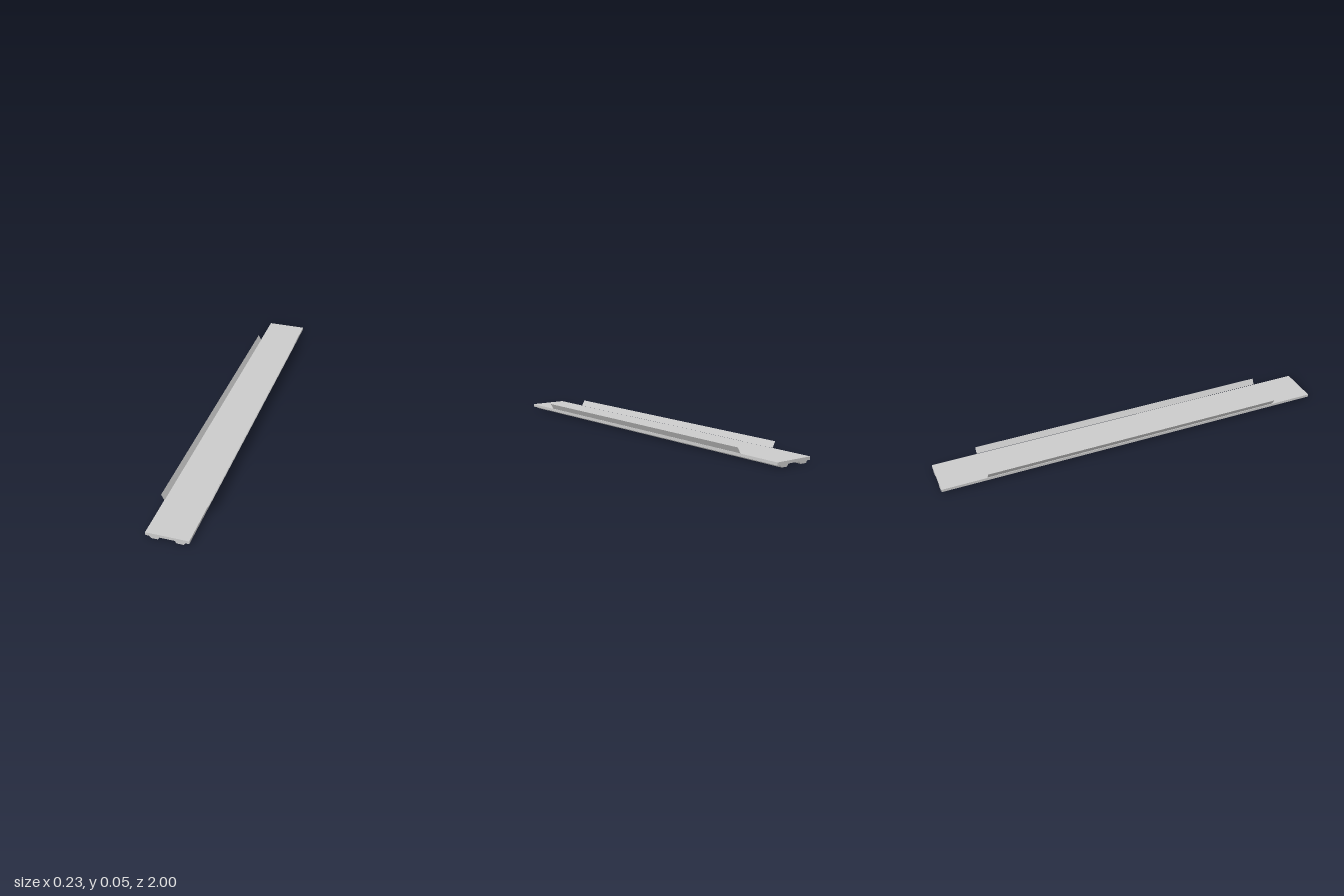
import * as THREE from 'three';

export function createModel() {
  const group = new THREE.Group();
  const grey = new THREE.MeshStandardMaterial({ color: 0xcccccc, flatShading: true });
  const thin = new THREE.MeshStandardMaterial({ color: 0xcccccc, flatShading: true, side: THREE.DoubleSide });

  // Deck plank: half cross-section with one tapered rib, mirrored about its centre
  const centre = -0.0025;
  const half = [
    [0.034, 0.012], [0.041, 0.001], [0.0425, 0], [0.073, 0], [0.0745, 0.001], [0.081, 0.0105],
    [0.098, 0.0105], [0.0995, 0.012], [0.0995, 0.0255],
  ];
  const mirrored = half.map(([x, y]) => [-x, y]).reverse();
  const profile = [...half, ...mirrored].map(([x, y]) => new THREE.Vector2(x + centre, y));
  const deckGeometry = new THREE.ExtrudeGeometry(new THREE.Shape(profile), { depth: 2, bevelEnabled: false });
  deckGeometry.translate(0, 0, -1);
  const deck = new THREE.Mesh(deckGeometry, grey);
  deck.name = 'deck';
  group.add(deck);

  // Thin side flaps leaning outwards from the deck edges
  const addFlap = (name, x0, x1) => {
    const y0 = 0.0265, y1 = 0.055;
    const geometry = new THREE.PlaneGeometry(1.555, Math.hypot(x1 - x0, y1 - y0));
    geometry.rotateY(Math.PI / 2);
    const flap = new THREE.Mesh(geometry, thin);
    flap.rotation.z = -Math.atan2(x1 - x0, y1 - y0);
    flap.position.set((x0 + x1) / 2, (y0 + y1) / 2, 0);
    flap.name = name;
    group.add(flap);
  };
  addFlap('leftFlap', 0.0975, 0.1135);
  addFlap('rightFlap', -0.1, -0.115);

  return group;
}
